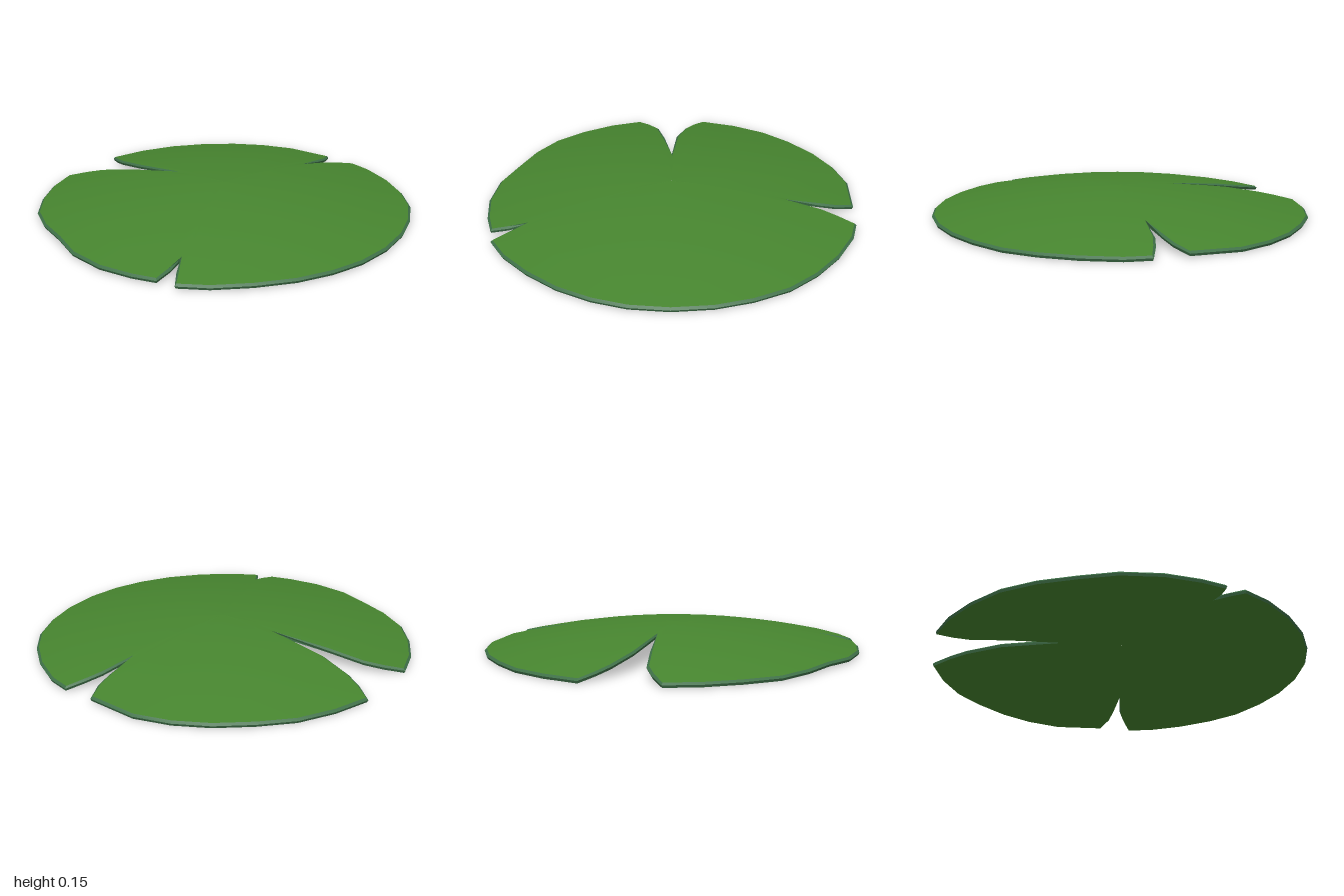
import * as THREE from 'three';
import { toCreasedNormals } from 'three/addons/utils/BufferGeometryUtils.js';

// Leaf outline (x, z), clockwise from above, starting at the tip of the back notch
const OUTLINE = [
  [0, -0.333], [0.03, -0.65], [0.085, -0.83], [0.13, -0.915], [0.195, -1], [0.39, -0.94],
  [0.57, -0.845], [0.715, -0.715], [0.845, -0.56], [0.935, -0.395], [0.99, -0.21], [0.98, 0.06],
  [0.88, 0.1], [0.79, 0.11], [0.615, 0.11], [0.795, 0.147], [0.88, 0.185], [0.97, 0.237], // left notch
  [0.935, 0.37], [0.84, 0.545], [0.715, 0.7], [0.57, 0.825], [0.39, 0.915], [0.205, 0.97],
  [0, 0.99], [-0.2, 0.97], [-0.375, 0.915], [-0.545, 0.825], [-0.705, 0.695], [-0.84, 0.545],
  [-0.92, 0.405], [-0.84, 0.35], [-0.75, 0.3], [-0.84, 0.317], [-0.935, 0.31], // right notch
  [-0.97, 0.185], [-0.99, 0], [-0.96, -0.205], [-0.88, -0.38], [-0.805, -0.56], [-0.7, -0.72],
  [-0.545, -0.845], [-0.375, -0.94], [-0.2, -0.995], [-0.13, -0.91], [-0.08, -0.82], [-0.04, -0.62],
];
const N = OUTLINE.length;
const THICK = 0.022;

// Height of the domed upper surface
const dome = (x, z) => 0.145 - 0.123 * Math.pow(Math.hypot(x, z), 1.85);

// Outline moved inwards by d
function inset(d) {
  return OUTLINE.map(([x, z], i) => {
    const a = OUTLINE[(i + N - 1) % N], b = OUTLINE[(i + 1) % N];
    const tx = b[0] - a[0], tz = b[1] - a[1], l = Math.hypot(tx, tz);
    return [x - (tz / l) * d, z + (tx / l) * d];
  });
}

// Joins neighbouring loops of N points into a surface
function loft(loops, flip) {
  const index = [];
  for (let r = 0; r < loops.length - 1; r++) {
    for (let i = 0; i < N; i++) {
      const j = (i + 1) % N;
      const a = r * N + i, b = r * N + j, c = a + N, d = b + N;
      if (flip) index.push(a, c, b, b, c, d);
      else index.push(a, b, c, b, d, c);
    }
  }
  const geometry = new THREE.BufferGeometry();
  geometry.setAttribute('position', new THREE.Float32BufferAttribute(loops.flat(2), 3));
  geometry.setIndex(index);
  geometry.computeVertexNormals();
  return geometry;
}

// Domed sheet: the outline shrunk in rings towards the centre
function sheet(edge, drop, flip) {
  const loops = [0.001, 0.17, 0.34, 0.5, 0.67, 0.84, 1].map((s) =>
    edge.map(([x, z]) => [x * s, dome(x * s, z * s) - drop, z * s]));
  return loft(loops, flip);
}

export function createModel() {
  const leafGreen = new THREE.MeshStandardMaterial({ color: 0x47852f });
  leafGreen.name = 'leafGreen';
  const rimGreen = new THREE.MeshStandardMaterial({ color: 0x3f7048 });
  rimGreen.name = 'rimGreen';

  const group = new THREE.Group();
  group.name = 'lilyPad';
  const add = (name, geometry, material) => {
    const mesh = new THREE.Mesh(geometry, material);
    mesh.name = name;
    group.add(mesh);
  };

  const topEdge = inset(0.012), lowEdge = inset(0.006);
  add('leafTop', sheet(topEdge, 0, false), leafGreen);
  add('leafUnderside', sheet(lowEdge, THICK, true), leafGreen);

  // Bevelled rim that follows the edge and the notches
  const level = (edge, drop) => edge.map(([x, z]) => [x, dome(x, z) - drop, z]);
  const rim = loft([level(topEdge, 0), level(OUTLINE, 0.008), level(lowEdge, THICK)], false);
  add('rim', toCreasedNormals(rim, 0.5), rimGreen);

  // Stand on the ground
  const box = new THREE.Box3().setFromObject(group);
  group.children.forEach((mesh) => mesh.geometry.translate(0, -box.min.y, 0));
  return group;
}
